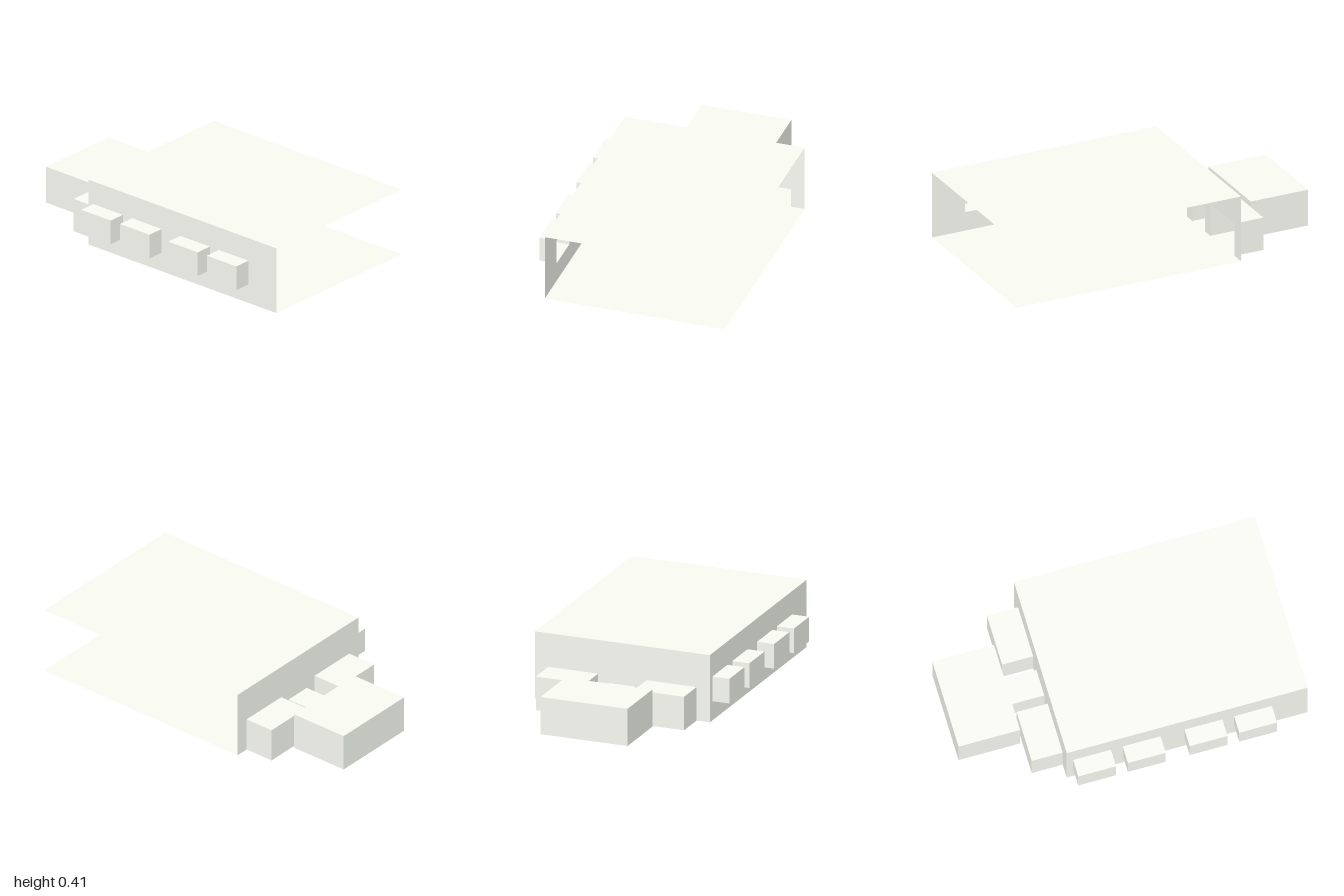
import * as THREE from 'three';

const material = new THREE.MeshStandardMaterial({ color: 0xf8faf2, side: THREE.DoubleSide, flatShading: true });

// Main hall extents
const X0 = -0.49, X1 = 0.595, H = 0.407, Z0 = -0.435, Z1 = 1;

function addMesh(parent, name, geometry) {
  const mesh = new THREE.Mesh(geometry, material);
  mesh.name = name;
  parent.add(mesh);
}

// Thin-walled box made of single panels; sides named in `open` are left out
function shell(name, [x0, x1], [y0, y1], [z0, z1], open) {
  const group = new THREE.Group();
  group.name = name;
  const w = x1 - x0, h = y1 - y0, d = z1 - z0;
  const cx = (x0 + x1) / 2, cy = (y0 + y1) / 2, cz = (z0 + z1) / 2;
  const q = Math.PI / 2;
  const panels = {
    front: [w, h, 0, 0, cx, cy, z1],
    back: [w, h, 0, 2 * q, cx, cy, z0],
    left: [d, h, 0, q, x1, cy, cz],
    right: [d, h, 0, -q, x0, cy, cz],
    top: [w, d, -q, 0, cx, y1, cz],
    bottom: [w, d, q, 0, cx, y0, cz],
  };
  for (const [side, [pw, ph, rx, ry, px, py, pz]] of Object.entries(panels)) {
    if (open.includes(side)) continue;
    const geo = new THREE.PlaneGeometry(pw, ph).rotateX(rx).rotateY(ry).translate(px, py, pz);
    addMesh(group, side + 'Panel', geo);
  }
  return group;
}

// Upright wall with door notches cut from its lower edge; doors are [x0, x1, height]
function wallWithDoors(x0, x1, height, doors) {
  const shape = new THREE.Shape().moveTo(x0, 0);
  for (const [a, b, h] of doors) shape.lineTo(a, 0).lineTo(a, h).lineTo(b, h).lineTo(b, 0);
  shape.lineTo(x1, 0).lineTo(x1, height).lineTo(x0, height).closePath();
  return new THREE.ShapeGeometry(shape);
}

export function createModel() {
  const model = new THREE.Group();
  model.name = 'building';

  // Hall: floor and ceiling, open at the front and left
  model.add(shell('hall', [X0, X1], [0, H], [Z0, Z1], ['front', 'back', 'left', 'right']));

  // Back wall with three doorways
  const alcoves = [[-0.408, -0.098], [0.202, 0.512]];
  const alcoveH = 0.203, passage = [-0.028, 0.135], passageH = 0.155;
  const doors = [[...alcoves[0], alcoveH], [...passage, passageH], [...alcoves[1], alcoveH]];
  addMesh(model, 'backWall', wallWithDoors(X0, X1, H, doors).translate(0, 0, Z0));

  // Side wall with window openings, each opening into a projecting bay
  const bays = [[0.562, 0.787], [0.267, 0.492], [-0.101, 0.124], [-0.397, -0.172]];
  const bayY = [0.116, 0.265];
  const wall = new THREE.Shape().moveTo(Z0, 0).lineTo(Z1, 0).lineTo(Z1, H).lineTo(Z0, H).closePath();
  for (const [a, b] of bays) {
    wall.holes.push(new THREE.Path().moveTo(a, bayY[0]).lineTo(a, bayY[1]).lineTo(b, bayY[1]).lineTo(b, bayY[0]).closePath());
    model.add(shell('windowBay', [-0.595, X0], bayY, [a, b], ['left']));
  }
  addMesh(model, 'windowWall', new THREE.ShapeGeometry(wall).rotateY(-Math.PI / 2).translate(X0, 0, 0));

  // Alcoves and passage behind the doorways
  for (const span of alcoves) model.add(shell('alcove', span, [0, alcoveH], [-0.62, Z0], ['front']));
  const roomZ = -0.633;
  model.add(shell('passage', passage, [0, passageH], [roomZ, Z0], ['front', 'back']));

  // Rear room reached through the passage
  const roomX = [-0.216, 0.324], roomH = 0.225;
  model.add(shell('rearRoom', roomX, [0, roomH], [-1, roomZ], ['front']));
  addMesh(model, 'rearRoomFrontWall', wallWithDoors(...roomX, roomH, [[...passage, passageH]]).translate(0, 0, roomZ));

  return model;
}
